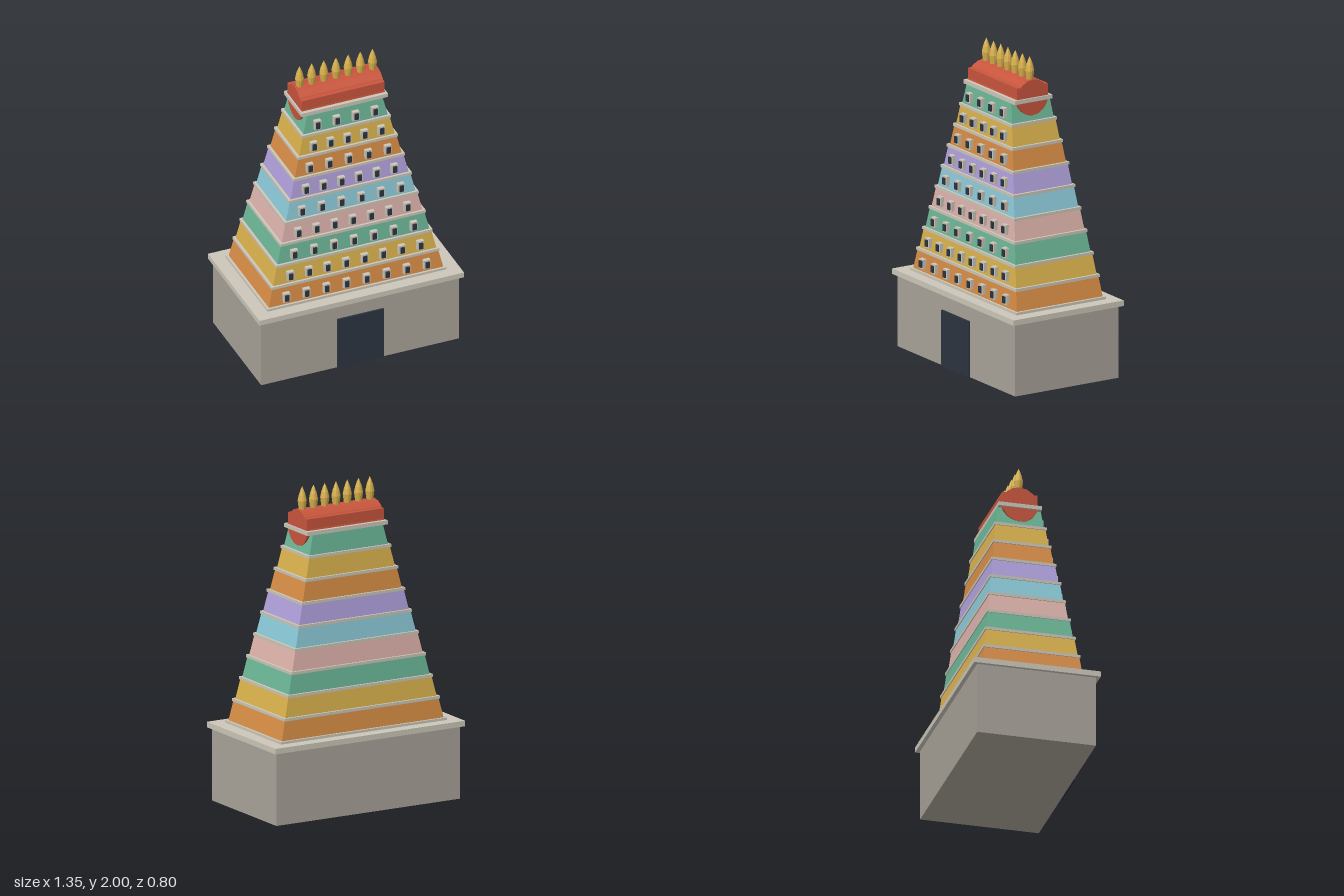
import * as THREE from 'three';

const mat = (name, color) => {
  const m = new THREE.MeshStandardMaterial({ color });
  m.name = name;
  return m;
};

export function createModel() {
  const stone = mat('stone', 0xa8a298);
  const trim = mat('pale trim', 0xcbc6b8);
  const dark = mat('dark opening', 0x2b3440);
  const red = mat('roof red', 0xc8553d);
  const yellow = mat('golden yellow', 0xd8b04c);
  const orange = mat('orange', 0xd68c45);
  const green = mat('green', 0x6bb596);
  const pink = mat('pink', 0xdbb0a9);
  const blue = mat('blue', 0x8ac8d6);
  const purple = mat('purple', 0xaf9fdb);
  red.flatShading = true;
  yellow.flatShading = true;

  const model = new THREE.Group();
  model.name = 'templeGateTower';

  const add = (parent, name, geo, material, x = 0, y = 0, z = 0) => {
    const mesh = new THREE.Mesh(geo, material);
    mesh.name = name;
    mesh.position.set(x, y, z);
    parent.add(mesh);
    return mesh;
  };

  // Box from half sizes and a bottom and top height
  const block = (parent, name, hx, y0, y1, hz, material) =>
    add(parent, name, new THREE.BoxGeometry(hx * 2, y1 - y0, hz * 2), material, 0, (y0 + y1) / 2, 0);

  // Box whose upper corners are drawn inwards
  const taperedBox = (hx, hz, h, insetX, insetZ) => {
    const geo = new THREE.BoxGeometry(hx * 2, h, hz * 2);
    const p = geo.attributes.position;
    for (let i = 0; i < p.count; i++) {
      if (p.getY(i) > 0) {
        p.setX(i, Math.sign(p.getX(i)) * (hx - insetX));
        p.setZ(i, Math.sign(p.getZ(i)) * (hz - insetZ));
      }
    }
    geo.computeVertexNormals();
    return geo;
  };

  // Stone base with its slab and doorway
  block(model, 'base', 0.655, 0, 0.457, 0.375, stone);
  block(model, 'baseSlab', 0.677, 0.457, 0.492, 0.4, trim);
  add(model, 'door', new THREE.BoxGeometry(0.304, 0.355, 0.02), dark, 0, 0.1775, 0.377);

  // Nine tapering storeys, each on a thin ledge and with a row of front windows
  const tierColours = [orange, yellow, green, pink, blue, purple, orange, yellow, green];
  const step = 0.1367;
  const frameGeo = new THREE.BoxGeometry(0.044, 0.062, 0.027);
  const paneGeo = new THREE.BoxGeometry(0.026, 0.042, 0.009);
  tierColours.forEach((colour, i) => {
    const tier = new THREE.Group();
    tier.name = `storey${i + 1}`;
    model.add(tier);
    const y = 0.49 + i * step;
    const hx = 0.577 - i * 0.0373;
    const hz = 0.312 - i * 0.0202;
    block(tier, 'ledge', hx + 0.016, y, y + 0.018, hz + 0.014, trim);
    const h = step - 0.018;
    add(tier, 'wall', taperedBox(hx, hz, h, 0.027, 0.012), colour, 0, y + 0.018 + h / 2, 0);

    const count = 8 - Math.floor(i / 2);
    const span = 0.464 - i * 0.0343;
    for (let k = 0; k < count; k++) {
      const x = -span + (2 * span * k) / (count - 1);
      add(tier, 'windowFrame', frameGeo, trim, x, y + 0.071, hz + 0.0035);
      add(tier, 'windowPane', paneGeo, dark, x, y + 0.071, hz + 0.0215);
    }
  });

  // Barrel roof lying along x, with square shoulders on the top ledge
  block(model, 'topLedge', 0.286, 1.72, 1.745, 0.137, trim);
  const barrel = add(model, 'barrelRoof', new THREE.CylinderGeometry(0.114, 0.114, 0.55, 16), red, 0, 1.745, 0);
  barrel.rotation.z = Math.PI / 2;
  block(model, 'roofShoulders', 0.274, 1.745, 1.818, 0.112, red);

  // Row of seven pointed finials on the ridge
  const profile = [[0, 1.85], [0.02, 1.85], [0.025, 1.885], [0.028, 1.91], [0.021, 1.945], [0.011, 1.975], [0, 2]]
    .map(([r, y]) => new THREE.Vector2(r, y));
  const finialGeo = new THREE.LatheGeometry(profile, 12);
  for (let k = -3; k <= 3; k++) add(model, 'finial', finialGeo, yellow, k * 0.0805, 0, 0);

  return model;
}
